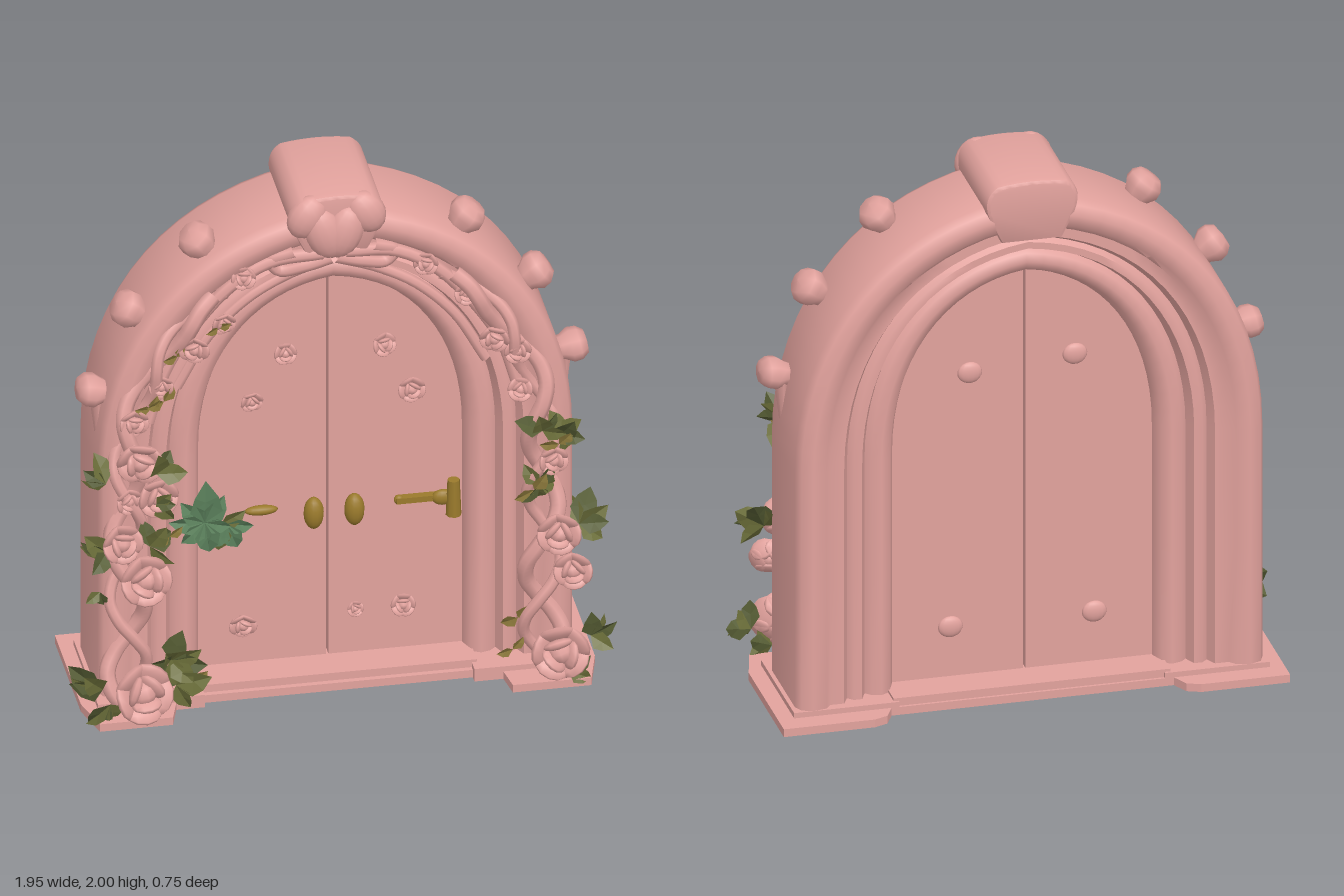
import * as THREE from 'three';
import { toCreasedNormals } from 'three/addons/utils/BufferGeometryUtils.js';

const material = (name, color, extra = {}) => {
  const m = new THREE.MeshStandardMaterial({ color, ...extra });
  m.name = name;
  return m;
};

// Half of a pointed arch, from its foot at x = w up to the apex at y = a
function halfArch(w, a, steps = 16) {
  const s = 0.95;
  const curve = new THREE.CubicBezierCurve(
    new THREE.Vector2(w, s), new THREE.Vector2(w, s + 0.54 * (a - s)),
    new THREE.Vector2(0.62 * w, a - 0.055 * (a - s)), new THREE.Vector2(0, a));
  return [new THREE.Vector2(w, 0.02), new THREE.Vector2(w, 0.5), ...curve.getPoints(steps)];
}

// Closed moulding profile (half width, apex, z) swept over the whole arch
function archGeometry(profile) {
  const rows = profile.map(([w, a, z]) => {
    const half = halfArch(w, a);
    const other = half.slice(0, -1).reverse().map(p => new THREE.Vector2(-p.x, p.y));
    return [...half, ...other].map(p => [p.x, p.y, z]);
  });
  const n = rows[0].length, m = rows.length, pos = [], idx = [];
  for (let i = 0; i < n; i++) for (let j = 0; j < m; j++) pos.push(...rows[j][i]);
  for (let i = 0; i < n - 1; i++) for (let j = 0; j < m; j++) {
    const k = (j + 1) % m, A = i * m + j, B = A + m, C = i * m + k, D = C + m;
    idx.push(A, B, C, B, D, C);
  }
  const g = new THREE.BufferGeometry();
  g.setAttribute('position', new THREE.Float32BufferAttribute(pos, 3));
  g.setIndex(idx);
  return toCreasedNormals(g, 0.9);
}

export function createModel() {
  const root = new THREE.Group();
  const pink = material('rose stone', 0xe2a29d);
  const olive = material('olive leaf', 0x6c6f3a, { side: THREE.DoubleSide, flatShading: true });
  const moss = material('dark leaf', 0x565d34, { side: THREE.DoubleSide, flatShading: true });
  const dry = material('dry leaf', 0x8d7a3c, { side: THREE.DoubleSide, flatShading: true });
  const ivyGreen = material('ivy green', 0x5f8660, { side: THREE.DoubleSide, flatShading: true });
  const gold = material('old gold', 0x9a7a2c);
  let seed = 7;
  const rand = () => (seed = (seed * 16807) % 2147483647) / 2147483647;
  const add = (name, geo, mat, x = 0, y = 0, z = 0, parent = root) => {
    const m = new THREE.Mesh(geo, mat);
    m.name = name;
    m.position.set(x, y, z);
    parent.add(m);
    return m;
  };
  const tube = (name, pts, r) => add(name, new THREE.TubeGeometry(
    new THREE.CatmullRomCurve3(pts.map(p => new THREE.Vector3(...p))), pts.length * 4, r, 7), pink);

  // Stepped stone arch, moulded on the front and mirrored to the back
  const front = [
    [0.845, 1.925, 0.06], [0.83, 1.91, 0.095], [0.79, 1.875, 0.11], [0.74, 1.83, 0.1], [0.72, 1.81, 0.075],
    [0.67, 1.775, 0.075], [0.65, 1.755, 0.035], [0.63, 1.74, 0.055], [0.60, 1.715, 0.055], [0.58, 1.70, 0.01],
    [0.56, 1.685, 0.03], [0.525, 1.655, 0.04], [0.49, 1.62, 0.02], [0.47, 1.6, -0.03]];
  const back = front.map(([w, a, z]) => [w, a, -0.2 - z]).reverse();
  add('stoneArch', archGeometry([...front, ...back]), pink, 0.012);

  // Pair of doors with a narrow gap
  for (const s of [-1, 1]) {
    const pts = [new THREE.Vector2(0.004, 0.02), ...halfArch(0.485, 1.612).slice(0, -1), new THREE.Vector2(0.004, 1.61)];
    const shape = new THREE.Shape(pts.map(p => new THREE.Vector2(p.x * s, p.y)));
    const g = new THREE.ExtrudeGeometry(shape, { depth: 0.13, bevelEnabled: false });
    add(s > 0 ? 'leftDoor' : 'rightDoor', g, pink, 0.003, 0, -0.165);
  }
  add('doorStop', new THREE.BoxGeometry(0.03, 1.55, 0.04), pink, 0.003, 0.8, -0.1);

  // Base slab with feet at the four corners
  const plan = [[-0.9, -0.39], [-0.58, -0.39], [-0.53, -0.37], [-0.5, -0.31], [0.52, -0.31], [0.55, -0.37], [0.6, -0.39],
    [0.93, -0.39], [0.93, 0.1], [0.89, 0.25], [0.61, 0.25], [0.59, 0.12], [-0.56, 0.12], [-0.6, 0.25], [-0.86, 0.25], [-0.9, 0.1]];
  const slab = new THREE.ExtrudeGeometry(new THREE.Shape(plan.map(([x, z]) => new THREE.Vector2(x, -z))),
    { depth: 0.03, bevelEnabled: false });
  slab.rotateX(-Math.PI / 2);
  add('baseSlab', slab, pink);
  add('threshold', new THREE.BoxGeometry(1.0, 0.06, 0.4), pink, 0.01, 0.03, -0.1);
  for (const s of [-1, 1]) add('pillarPlinth', new THREE.BoxGeometry(0.38, 0.05, 0.46), pink, 0.012 + s * 0.67, 0.025, -0.08);

  // Keystone ridge, rolled petals and heart boss
  const key = new THREE.Shape();
  key.moveTo(-0.1, 1.78);
  key.lineTo(0.1, 1.78);
  key.lineTo(0.14, 1.86);
  key.quadraticCurveTo(0.175, 1.94, 0.12, 1.975);
  key.quadraticCurveTo(0, 1.995, -0.12, 1.975);
  key.quadraticCurveTo(-0.175, 1.94, -0.14, 1.86);
  const keyGeo = new THREE.ExtrudeGeometry(key, { depth: 0.39, bevelSize: 0.014, bevelThickness: 0.02, bevelSegments: 2 });
  add('keystone', toCreasedNormals(keyGeo, 0.7), pink, 0.01, 0, -0.29);
  const bump = new THREE.SphereGeometry(1, 14, 10);
  for (const s of [-1, 1]) {
    const roll = add('keystonePetal', bump, pink, 0.01 + s * 0.105, 1.915, 0.1);
    roll.scale.set(0.068, 0.085, 0.05);
    roll.rotation.z = s * 0.5;
    const lobe = add('heartLobe', bump, pink, s * 0.035, 1.85, 0.11);
    lobe.scale.set(0.07, 0.105, 0.05);
    lobe.rotation.z = -s * 0.35;
    // Ribbons curling from the heart onto the mouldings
    tube('heartRibbon', [[s * 0.01, 1.75, 0.11], [s * 0.1, 1.72, 0.1], [s * 0.19, 1.7, 0.08], [s * 0.22, 1.74, 0.08], [s * 0.14, 1.78, 0.1]], 0.024);
    tube('upperBranch', [[s * 0.04, 1.77, 0.11], [s * 0.22, 1.74, 0.085], [s * 0.36, 1.66, 0.085], [s * 0.5, 1.5, 0.08], [s * 0.6, 1.34, 0.09], [s * 0.66, 1.15, 0.1]], 0.024);
    tube('lowerBranch', [[s * 0.01, 1.73, 0.08], [s * 0.16, 1.66, 0.05], [s * 0.3, 1.58, 0.05], [s * 0.44, 1.44, 0.05], [s * 0.55, 1.25, 0.05]], 0.02);
  }

  // Bud ornaments on the outer edge
  const budProfile = [[0, -0.08], [0.045, -0.07], [0.055, -0.03], [0.075, 0], [0.072, 0.03], [0.05, 0.055], [0, 0.06]];
  const budShape = new THREE.LatheGeometry(budProfile.map(p => new THREE.Vector2(...p)), 8);
  for (const [x, y, lean] of [[0.485, 1.79, 0.65], [0.73, 1.54, 0.95], [0.86, 1.23, 1.4]]) for (const s of [-1, 1]) {
    const b = add('edgeBud', budShape, pink, s * x + (s < 0 ? 0.025 : 0.005), y, -0.015);
    b.rotation.z = -s * lean;
    b.scale.set(y < 1.3 ? 0.75 : 0.9, 1, 1.05);
    if (y < 1.3) {
      const tail = add('budTail', new THREE.ConeGeometry(0.045, 0.32, 8), pink, 0.012 + s * 0.83, 1.08, -0.025);
      tail.rotation.set(Math.PI, 0, s * 0.04);
      tail.scale.x = 0.6;
    }
  }

  // Roses: a bud wrapped in two rings of cupped petals
  const petal = new THREE.SphereGeometry(1, 9, 6);
  function rose(x, y, z, r, name = 'rose') {
    const g = new THREE.Group();
    g.name = name;
    g.position.set(x, y, z);
    g.scale.setScalar(r);
    g.rotation.set((rand() - 0.5) * 0.6, (rand() - 0.5) * 0.6, rand() * 6);
    add('roseHeart', petal, pink, 0, 0, 0.1, g).scale.set(0.45, 0.45, 0.5);
    for (const [n, d, size, tilt, h] of [[3, 0.34, 0.42, 1.15, 0.3], [5, 0.58, 0.55, 0.75, 0.05]]) for (let i = 0; i < n; i++) {
      const pivot = new THREE.Group();
      pivot.name = 'petalPivot';
      pivot.rotation.z = i / n * Math.PI * 2 + d * 3;
      g.add(pivot);
      const p = add('petal', petal, pink, d, 0, h, pivot);
      p.scale.set(size, size * 1.2, 0.18);
      p.rotation.y = -tilt;
    }
    root.add(g);
  }
  const roses = [
    [-0.72, 0.16, 0.28, 0.11], [-0.69, 0.56, 0.18, 0.095], [-0.77, 0.71, 0.17, 0.075], [-0.64, 0.88, 0.16, 0.075],
    [-0.70, 1.03, 0.16, 0.085], [-0.72, 1.17, 0.13, 0.055], [-0.62, 1.3, 0.12, 0.045], [-0.50, 1.44, 0.12, 0.055],
    [-0.39, 1.51, 0.08, 0.045], [-0.74, 0.86, 0.14, 0.05], [0.78, 0.15, 0.24, 0.105], [0.84, 0.43, 0.17, 0.07],
    [0.79, 0.58, 0.16, 0.08], [0.77, 0.87, 0.15, 0.055], [0.66, 1.15, 0.12, 0.045], [0.65, 1.31, 0.12, 0.05],
    [0.57, 1.37, 0.12, 0.055], [0.47, 1.55, 0.1, 0.045], [0.33, 1.68, 0.09, 0.045], [-0.32, 1.69, 0.09, 0.045]];
  roses.forEach(r => rose(...r));
  const studs = [[-0.15, 1.3], [0.2, 1.3], [-0.27, 1.12], [0.3, 1.11], [-0.3, 0.22], [0.1, 0.24], [0.27, 0.24]];
  studs.forEach(([x, y], i) => rose(x, y, -0.025, [0.042, 0.045, 0.042, 0.05, 0.05, 0.03, 0.045][i], 'doorRose'));
  for (const [x, y] of [[-0.18, 1.25], [0.2, 1.22], [-0.25, 0.25], [0.27, 0.25]])
    add('backStud', bump, pink, x, y, -0.165).scale.set(0.045, 0.04, 0.018);

  // Winding vine stems climbing both pillars
  for (const s of [-1, 1]) {
    const path = new THREE.SplineCurve(halfArch(0.74, 1.77));
    for (const phase of [0, 2.6]) {
      const pts = [];
      for (let i = 0; i <= 24; i++) {
        const t = i / 24, p = path.getPointAt(t * 0.8), thin = 1 - 0.65 * t;
        pts.push([s * (p.x + 0.075 * thin * Math.sin(i * 0.85 + phase)), p.y, 0.1 + 0.03 * (1 - t) + 0.03 * Math.cos(i * 0.85 + phase)]);
      }
      tube('vine', pts, phase ? 0.022 : 0.03);
    }
  }

  // Folded pointed leaves gathered in sprays
  const leaf = new THREE.BufferGeometry();
  leaf.setAttribute('position', new THREE.Float32BufferAttribute(
    [0, 0, 0, 0.36, 0.35, 0.12, 0.26, 0.7, 0.1, 0, 1, -0.05, -0.26, 0.7, 0.1, -0.36, 0.35, 0.12, 0, 0.5, 0], 3));
  leaf.setIndex([0, 1, 6, 1, 2, 6, 2, 3, 6, 3, 4, 6, 4, 5, 6, 5, 0, 6]);
  leaf.computeVertexNormals();
  // x, y, z, count, size, first direction, spread of directions
  const sprays = [
    [-0.82, 0.94, 0.15, 3, 0.1, 0.3, 1.6], [-0.65, 0.99, 0.2, 3, 0.1, -1.6, 1.6], [-0.65, 0.87, 0.2, 3, 0.08, -2.4, 1.6],
    [-0.82, 0.67, 0.16, 4, 0.1, 0.8, 1.6], [-0.67, 0.69, 0.18, 4, 0.1, -2.0, 2.2], [-0.84, 0.14, 0.2, 4, 0.13, 0.7, 1.4],
    [-0.82, 0.1, 0.24, 3, 0.1, 1.6, 1.8], [-0.6, 0.23, 0.2, 6, 0.11, -2.4, 3.4], [-0.58, 0.13, 0.2, 6, 0.11, -2.6, 3.4],
    [-0.84, 0.5, 0.14, 2, 0.07, 2.2, 1.2], [0.73, 1.0, 0.17, 4, 0.09, -1.8, 3], [0.8, 0.97, 0.15, 5, 0.1, -2.6, 3],
    [0.72, 0.78, 0.17, 5, 0.09, -1.8, 5], [0.87, 0.58, 0.12, 5, 0.11, -2.2, 2.4], [0.9, 0.16, 0.18, 4, 0.09, -2.2, 2.2],
    [0.81, 0.06, 0.24, 3, 0.09, -2, 1.6]];
  for (const [x, y, z, n, size, from, spread] of sprays) for (let i = 0; i < n; i++) {
    const l = add('leaf', leaf, i % 2 ? moss : olive, x, y, z);
    l.scale.setScalar(size * (0.9 + 0.35 * rand()));
    l.rotation.set((rand() - 0.5) * 1.3, (rand() - 0.5) * 1.3, from + spread * i / (n - 1));
  }
  // Small dry leaves scattered among the branches
  const dryLeaves = [[-0.61, 1.24, 0.13, 0.07], [-0.56, 1.41, 0.12, 0.06], [-0.41, 1.5, 0.1, 0.05], [-0.66, 1.22, 0.14, 0.06],
    [0.65, 0.23, 0.13, 0.07], [0.63, 0.11, 0.14, 0.06], [0.70, 0.77, 0.18, 0.08], [0.79, 0.94, 0.17, 0.07], [-0.52, 0.14, 0.2, 0.07], [-0.6, 0.72, 0.18, 0.06]];
  for (const [x, y, z, size] of dryLeaves) for (const a of [-1.4, 1.2]) {
    const l = add('dryLeaf', leaf, dry, x, y, z);
    l.scale.setScalar(size);
    l.rotation.set(0.2, (rand() - 0.5) * 0.8, a + rand());
  }

  // Ivy sprig on the door's edge
  const ivy = [[-0.45, 0.69, 0.055, ivyGreen, [[0, 0.18], [0.75, 0.13], [1.5, 0.13], [2.4, 0.12], [3.3, 0.14], [4.4, 0.1], [-0.55, 0.13]]],
    [-0.37, 0.67, 0.045, ivyGreen, [[2.6, 0.12], [3.5, 0.12], [4.5, 0.1]]],
    [-0.39, 0.67, 0.04, olive, [[1.9, 0.1], [3.1, 0.12], [5.2, 0.1]]]];
  for (const [x, y, z, mat, leaves] of ivy) for (const [a, size] of leaves) {
    const l = add('ivyLeaf', leaf, mat, x, y, z);
    l.scale.set(size * 0.9, size, size);
    l.rotation.set(0.15, 0, a);
  }

  // Gold door handles and hinges
  for (const x of [-0.055, 0.09]) {
    add('handle', bump, gold, x, 0.665, 0.015).scale.set(0.036, 0.062, 0.034);
    add('handleStem', new THREE.CylinderGeometry(0.018, 0.018, 0.06, 8).rotateX(Math.PI / 2), gold, x, 0.66, -0.02);
  }
  add('hingeStrap', new THREE.BoxGeometry(0.2, 0.022, 0.03), gold, 0.345, 0.665, -0.02);
  add('hingePin', new THREE.CylinderGeometry(0.022, 0.028, 0.14, 8), gold, 0.445, 0.67, 0.005);
  add('hingeFlare', bump, gold, 0.41, 0.665, -0.01).scale.set(0.04, 0.03, 0.02);
  add('hingeTip', bump, gold, 0.255, 0.665, -0.02).scale.set(0.018, 0.018, 0.015);
  add('hingeLeaf', bump, gold, -0.235, 0.675, -0.02).scale.set(0.06, 0.018, 0.02);
  return root;
}
